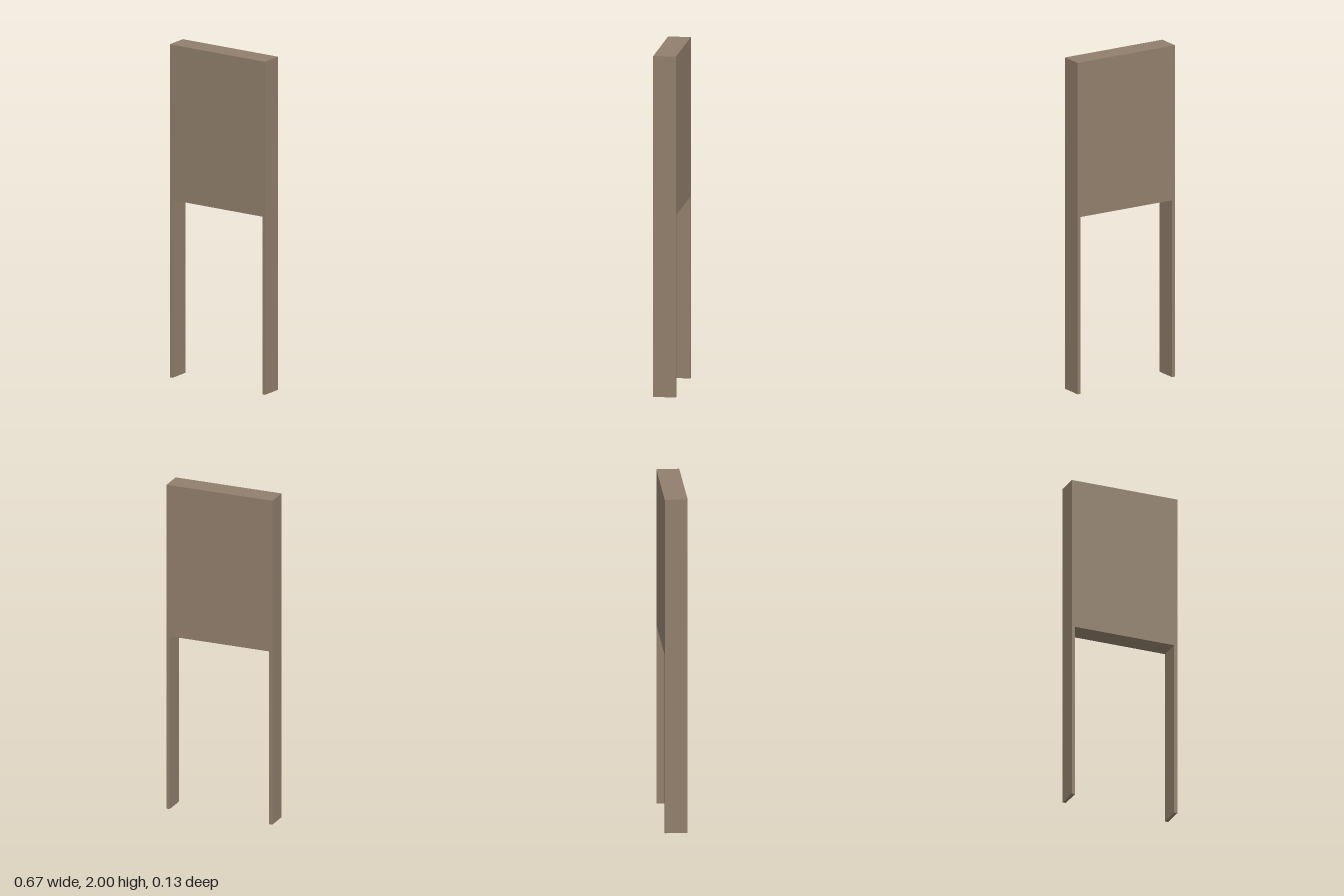
import * as THREE from 'three';

const HALF_WIDTH = 0.333, HEIGHT = 2, DEPTH = 0.133;
const LEG = 0.02, PANEL_BOTTOM = 1.067;

export function createModel() {
  const group = new THREE.Group();
  group.name = 'panelOnLegs';

  const brown = new THREE.MeshStandardMaterial({ color: 0x917f6c });
  brown.name = 'taupe brown';

  // Upright slab with a tall opening that leaves two thin legs
  const inner = HALF_WIDTH - LEG;
  const outline = new THREE.Shape([
    [-HALF_WIDTH, 0], [-inner, 0], [-inner, PANEL_BOTTOM], [inner, PANEL_BOTTOM],
    [inner, 0], [HALF_WIDTH, 0], [HALF_WIDTH, HEIGHT], [-HALF_WIDTH, HEIGHT],
  ].map(([x, y]) => new THREE.Vector2(x, y)));

  const geometry = new THREE.ExtrudeGeometry(outline, { depth: DEPTH, bevelEnabled: false });
  geometry.translate(0, 0, -DEPTH / 2);

  const slab = new THREE.Mesh(geometry, brown);
  slab.name = 'panelWithLegs';
  group.add(slab);
  return group;
}
